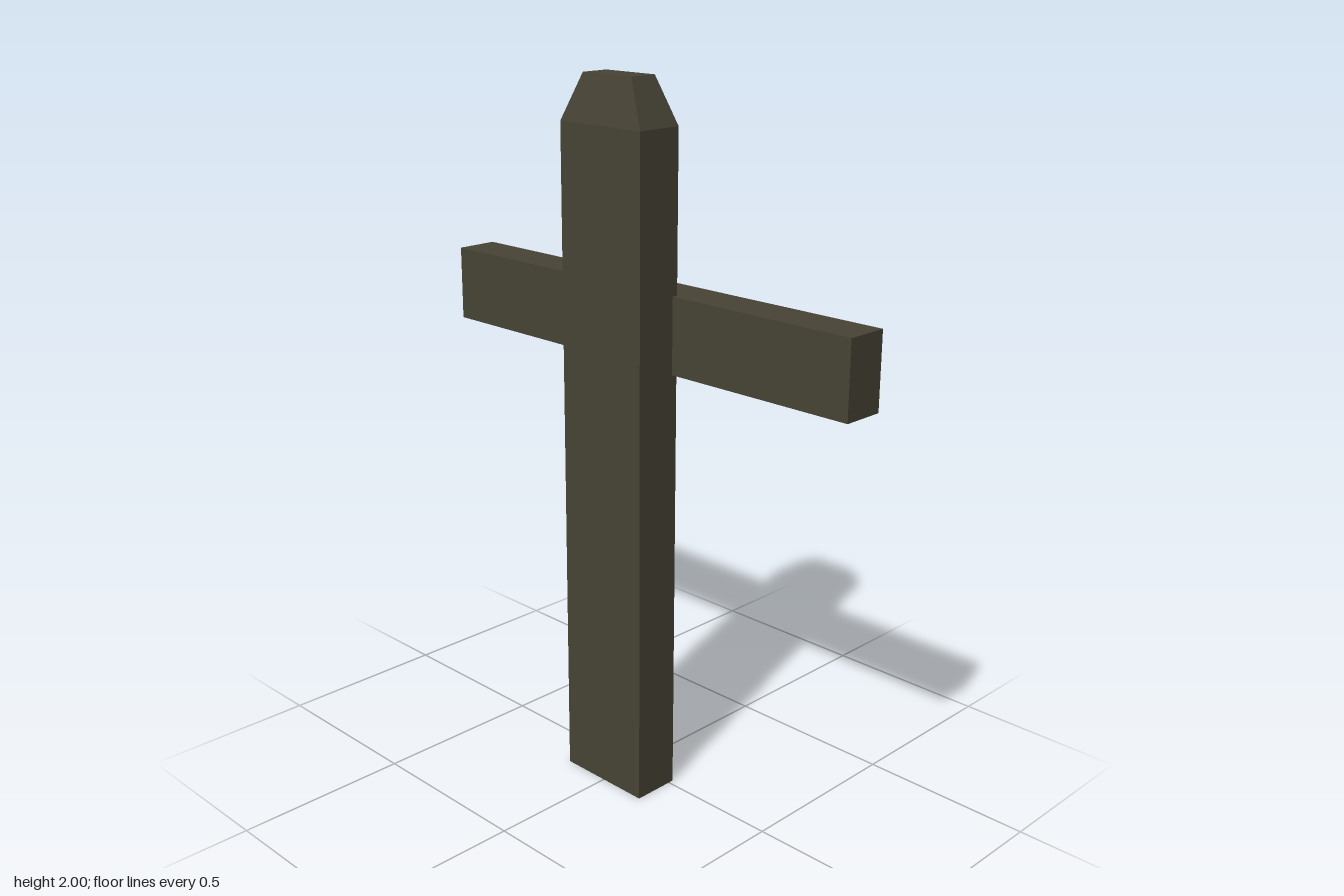
import * as THREE from 'three';

const POST = { x: -0.053, width: 0.137, depth: 0.29, height: 2, shoulder: 1.875 };
const TIP = { width: 0.083, depth: 0.174 };

// Square post whose upper end tapers to a small flat tip
function postGeometry() {
  const geometry = new THREE.BoxGeometry(POST.width, POST.height, POST.depth, 1, 2, 1);
  const p = geometry.attributes.position;
  for (let i = 0; i < p.count; i++) {
    const y = p.getY(i);
    if (Math.abs(y) < 0.01) {
      p.setY(i, POST.shoulder - POST.height / 2);
    } else if (y > 0) {
      p.setX(i, Math.sign(p.getX(i)) * TIP.width / 2);
      p.setZ(i, Math.sign(p.getZ(i)) * TIP.depth / 2);
    }
  }
  const flat = geometry.toNonIndexed();
  flat.computeVertexNormals();
  return flat;
}

export function createModel() {
  const group = new THREE.Group();
  group.name = 'fencePost';

  const wood = new THREE.MeshStandardMaterial({ color: 0x474335 });
  wood.name = 'darkWood';
  wood.flatShading = true;

  // Upright post
  const post = new THREE.Mesh(postGeometry(), wood);
  post.name = 'post';
  post.position.set(POST.x, POST.height / 2, 0);
  group.add(post);

  // Horizontal rail fixed to the left face of the post
  const rail = new THREE.Mesh(new THREE.BoxGeometry(0.122, 0.212, 1.45), wood);
  rail.name = 'rail';
  rail.position.set(0.06, 1.334, 0);
  group.add(rail);

  return group;
}
